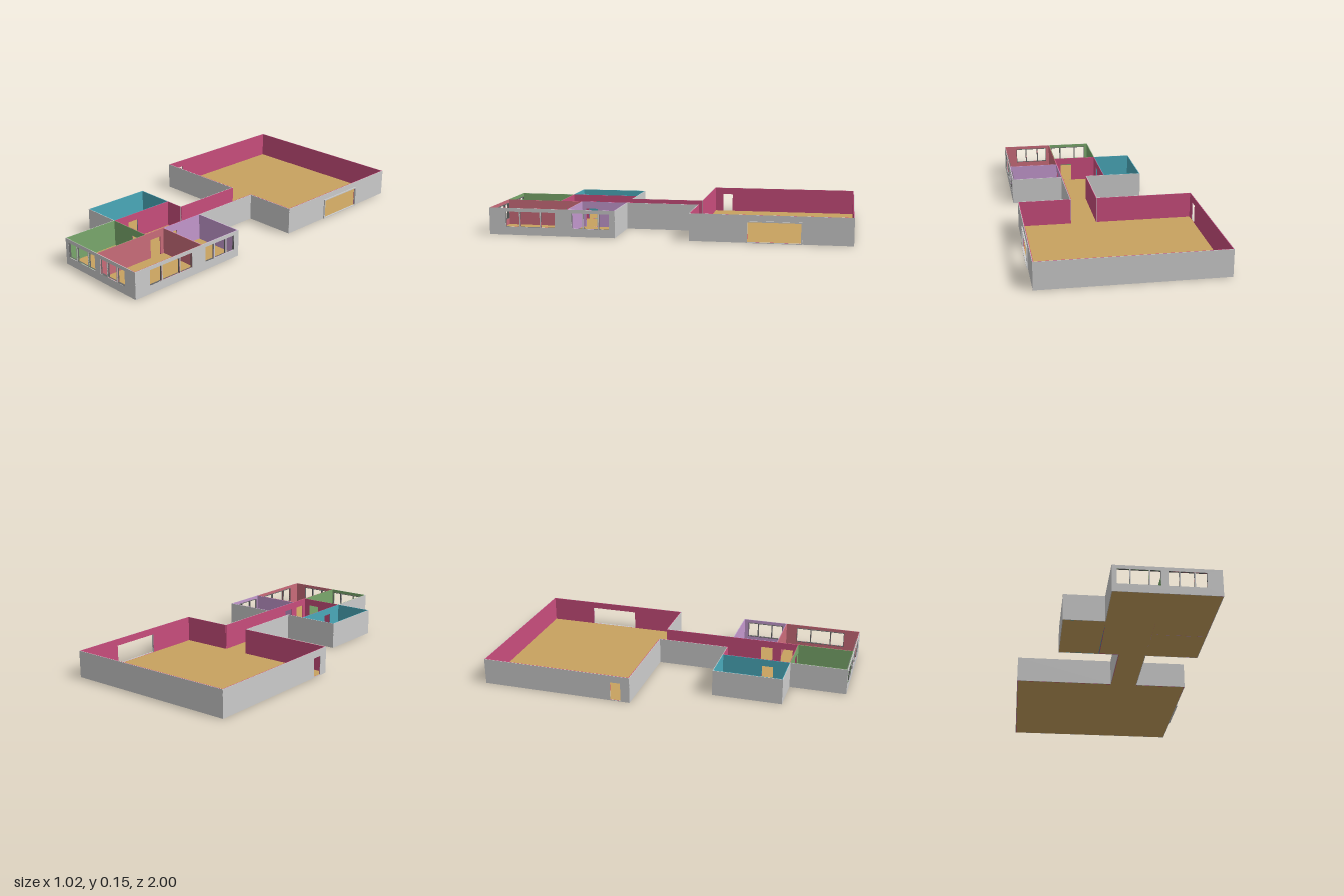
import * as THREE from 'three';

const H = 0.15;      // wall height
const T = 0.003;     // thickness of one wall skin
const FLOOR = 0.004;
const SILL = 0.045, HEAD = 0.13, DOOR = 0.11;

const GREY = new THREE.MeshStandardMaterial({ color: 0xcccccc });
const paint = (color) => new THREE.MeshStandardMaterial({ color });

// Corner loops as [x, z]; walking a loop keeps the inside on the same hand
const rect = (x0, z0, x1, z1) => [[x0, z0], [x1, z0], [x1, z1], [x0, z1]];
const OUTLINE = [
  [-0.507, -0.997], [0.497, -0.997], [0.497, -0.13], [0.2, -0.13], [0.2, 0.285],
  [0.497, 0.285], [0.497, 0.997], [-0.06, 0.997], [-0.06, 0.675], [-0.283, 0.675],
  [-0.283, 0.285], [0.05, 0.285], [0.05, -0.13], [-0.507, -0.13],
];
const ROOMS = [
  { name: 'hallAndCorridor', color: 0xc84d7c, loop: [
    [-0.507, -0.997], [0.497, -0.997], [0.497, -0.13], [0.2, -0.13], [0.2, 0.675],
    [-0.06, 0.675], [-0.06, 0.285], [0.05, 0.285], [0.05, -0.13], [-0.507, -0.13]] },
  { name: 'tealRoom', color: 0x4aa9ba, loop: rect(-0.283, 0.285, -0.06, 0.675) },
  { name: 'greenRoom', color: 0x7aa86c, loop: rect(-0.06, 0.675, 0.2, 0.997) },
  { name: 'redRoom', color: 0xca6c7a, loop: rect(0.2, 0.55, 0.497, 0.997) },
  { name: 'purpleRoom', color: 0xc398cd, loop: rect(0.2, 0.285, 0.497, 0.55) },
];

// Openings: the wall line (axis index 0 = x, 1 = z, at a value) and the span along it
const opening = (axis, at, from, to, y0, y1, kind) => ({ axis, at, from, to, y0, y1, kind });
const windows = (axis, at, spans) =>
  spans.map(([from, to]) => opening(axis, at, from, to, SILL, HEAD, 'window'));
const door = (axis, at, from, to) => opening(axis, at, from, to, FLOOR, DOOR, 'door');
const OPENINGS = [
  ...windows(1, 0.997, [[-0.038, 0.026], [0.032, 0.124], [0.13, 0.183]]),
  ...windows(1, 0.997, [[0.225, 0.279], [0.285, 0.355], [0.361, 0.42]]),
  ...windows(0, 0.497, [[0.62, 0.701], [0.707, 0.822], [0.828, 0.905]]),
  ...windows(0, 0.497, [[0.315, 0.372], [0.378, 0.458], [0.464, 0.525]]),
  opening(0, 0.497, -0.725, -0.44, FLOOR, 0.112, 'gate'),
  door(0, -0.507, -0.24, -0.18),
  door(0, -0.06, 0.515, 0.58),
  door(1, 0.675, 0.092, 0.162),
  door(0, 0.2, 0.455, 0.525),
  door(0, 0.2, 0.575, 0.645),
];

function box2D(ShapeType, x0, y0, x1, y1) {
  const s = new ShapeType();
  s.moveTo(x0, y0);
  s.lineTo(x1, y0);
  s.lineTo(x1, y1);
  s.lineTo(x0, y1);
  s.closePath();
  return s;
}

const extrude = (shape, depth) =>
  new THREE.ExtrudeGeometry(shape, { depth, bevelEnabled: false });

// Upright wall skin from a to b with its openings, between offsets d0 and d1 inward
function wallSkin(a, b, d0, d1, extend) {
  const dx = b[0] - a[0], dz = b[1] - a[1], len = Math.hypot(dx, dz);
  const ux = dx / len, uz = dz / len;
  const axis = Math.abs(dx) < 1e-6 ? 0 : 1, along = 1 - axis;
  const lo = Math.min(a[along], b[along]), hi = Math.max(a[along], b[along]);
  const shape = box2D(THREE.Shape, -extend, 0, len + extend, H);
  for (const o of OPENINGS) {
    if (o.axis !== axis || Math.abs(o.at - a[axis]) > 1e-4 || o.from < lo || o.to > hi) continue;
    const s = [Math.abs(o.from - a[along]), Math.abs(o.to - a[along])].sort((p, q) => p - q);
    shape.holes.push(box2D(THREE.Path, s[0], o.y0, s[1], o.y1));
  }
  const g = extrude(shape, d1 - d0).translate(0, 0, d0);
  return g.applyMatrix4(new THREE.Matrix4().set(
    ux, 0, -uz, a[0],
    0, 1, 0, 0,
    uz, 0, ux, a[1],
    0, 0, 0, 1));
}

function wallLoop(name, loop, material, d0, d1, extend = 0) {
  const group = new THREE.Group();
  group.name = name;
  loop.forEach((a, i) => {
    const b = loop[(i + 1) % loop.length];
    const mesh = new THREE.Mesh(wallSkin(a, b, d0, d1, extend), material);
    mesh.name = name + 'Wall';
    group.add(mesh);
  });
  return group;
}

// Rectangular surround; out and back are distances from the wall line
function frame(o, border, out, back, material) {
  const y0 = Math.max(0, o.y0 - border);
  const shape = box2D(THREE.Shape, o.from - border, y0, o.to + border, o.y1 + border);
  shape.holes.push(box2D(THREE.Path, o.from, o.y0, o.to, o.y1));
  const g = extrude(shape, out + back).translate(0, 0, -back);
  if (o.axis === 0) {
    // turn to face +x, keeping the span running along z
    g.scale(-1, 1, 1);
    const index = Array.from({ length: g.attributes.position.count }, (_, i) => i);
    for (let i = 0; i < index.length; i += 3) [index[i], index[i + 1]] = [index[i + 1], index[i]];
    g.setIndex(index);
    g.rotateY(Math.PI / 2).translate(o.at, 0, 0);
  } else {
    g.translate(0, 0, o.at);
  }
  const mesh = new THREE.Mesh(g, material);
  mesh.name = o.kind + 'Frame';
  return mesh;
}

export function createModel() {
  const model = new THREE.Group();
  model.name = 'floorPlan';

  // Floor slab over the whole outline
  const plan = new THREE.Shape(OUTLINE.map(([x, z]) => new THREE.Vector2(x, -z)));
  const floor = new THREE.Mesh(extrude(plan, FLOOR).rotateX(-Math.PI / 2), paint(0xc8a25f));
  floor.name = 'floor';
  model.add(floor);

  // Grey outer skin, then the painted inside of every room
  model.add(wallLoop('exterior', OUTLINE, GREY, -T, 0, T * 0.9));
  for (const r of ROOMS) model.add(wallLoop(r.name, r.loop, paint(r.color), 0, T));

  // Window frames stand inward, the gate surround stands outward
  const dark = paint(0x666666);
  for (const o of OPENINGS) {
    if (o.kind === 'window') model.add(frame(o, 0.0025, T - 0.0005, 0.01, dark));
    if (o.kind === 'gate') model.add(frame(o, 0.006, 0.01, 0.002, GREY));
  }
  return model;
}
